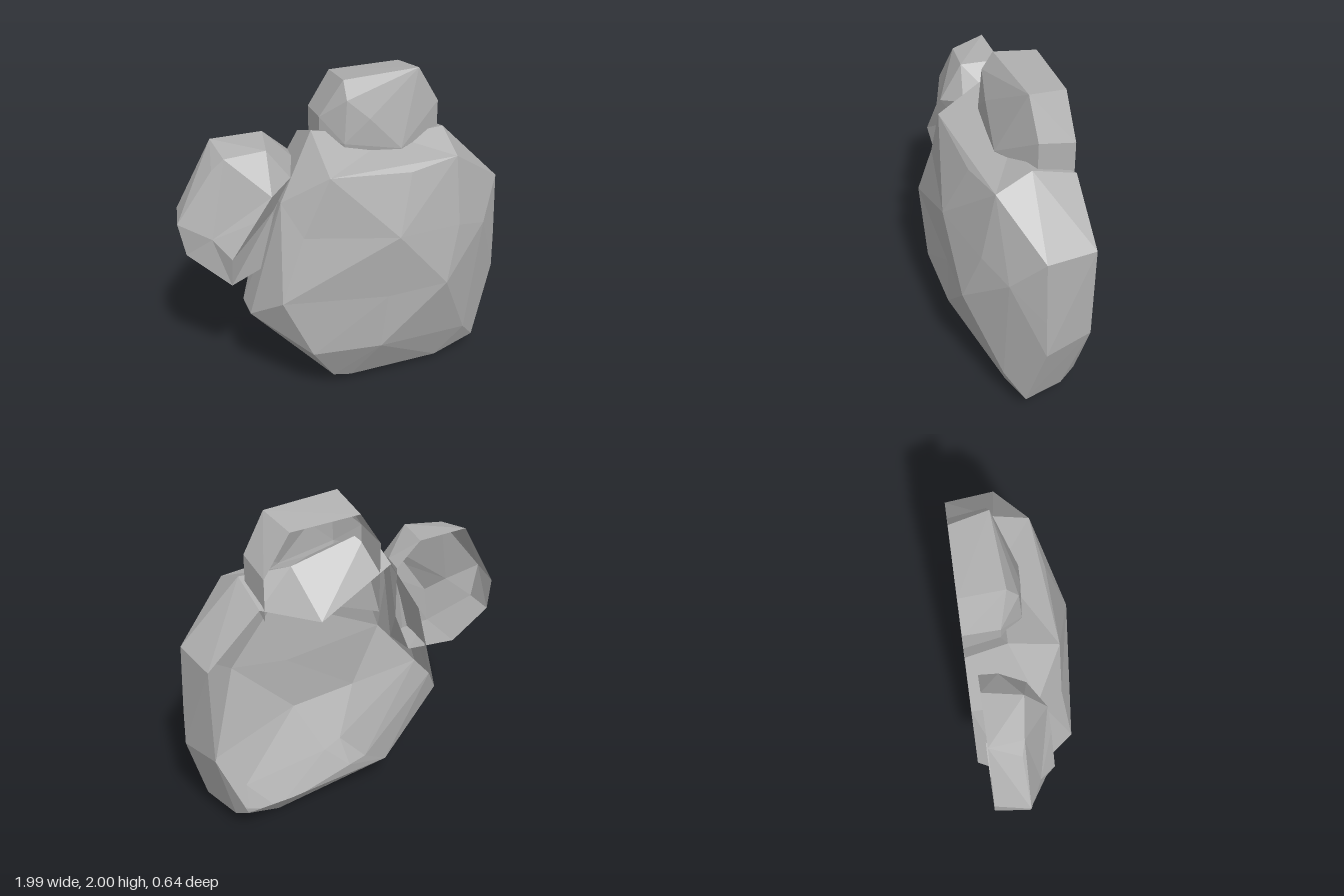
import * as THREE from 'three';
import { ConvexGeometry } from 'three/addons/geometries/ConvexGeometry.js';

// Faceted stone shell around corners [x, y, z, dy, dz]. After hulling, a corner with dy / dz
// is pushed in to make a dent. Faces on the plane z = back, or wholly below floor, are left open.
function stoneShell(points, back, floor) {
  const hull = new ConvexGeometry(points.map(([x, y, z]) => new THREE.Vector3(x, y, z)));
  const pos = hull.getAttribute('position');
  const dents = points.filter(p => p.length > 3);
  const kept = [];
  for (let i = 0; i < pos.count; i += 3) {
    const corners = [i, i + 1, i + 2].map(j => new THREE.Vector3().fromBufferAttribute(pos, j));
    if (corners.every(c => c.z < back + 0.005) || corners.every(c => c.y < floor)) continue;
    for (const c of corners) {
      const dent = dents.find(([x, y, z]) => Math.hypot(c.x - x, c.y - y, c.z - z) < 1e-4);
      if (dent) c.add(new THREE.Vector3(0, dent[3], dent[4]));
      kept.push(c.x, c.y, c.z);
    }
  }
  const geo = new THREE.BufferGeometry();
  geo.setAttribute('position', new THREE.Float32BufferAttribute(kept, 3));
  geo.computeVertexNormals();
  return geo;
}

// Flat outline at the open back
const rim = (outline, z) => outline.map(([x, y, ...dent]) => [x, y, z, ...dent]);

export function createModel() {
  const group = new THREE.Group();
  const stone = new THREE.MeshStandardMaterial({ color: 0xb0b0b0 });
  stone.name = 'stone grey';
  stone.side = THREE.DoubleSide;
  stone.flatShading = true;

  const add = (name, points, outline, back, floor = -1) => {
    const mesh = new THREE.Mesh(stoneShell([...points, ...rim(outline, back)], back, floor), stone);
    mesh.name = name;
    group.add(mesh);
  };

  // Large boulder, with a saddle in its top that carries the top stone
  add('largeBoulder', [
    // front face
    [-0.33, 1.18, 0.25, 0, -0.04], [0.22, 1.14, 0.32], [0.63, 1.1, 0.23], [0.83, 1.03, 0.14],
    [0.53, 0.76, 0.31], [0.17, 0.72, 0.325, 0, -0.045], [-0.48, 0.79, 0.26], [-0.3, 0.39, 0.265],
    [0.13, 0.36, 0.27], [0.74, 0.27, 0.13],
    // upper bevel
    [-0.17, 1.54, 0.21], [0.33, 1.49, 0.2], [0.63, 1.52, 0.15],
    [-0.19, 1.71, -0.08], [0.3, 1.68, -0.07, -0.08, 0], [0.62, 1.62, -0.06],
    // sides
    [-0.42, 1.35, 0.06], [-0.62, 0.61, 0.03], [-0.62, 0.61, -0.14], [0.97, 1.25, -0.02],
    [0.985, 0.84, -0.025], [0.99, 0.59, -0.03], [0.85, 0.12, 0.03],
    // underside
    [-0.13, 0.1, 0.13], [-0.18, 0.1, -0.11], [-0.08, 0.05, -0.09], [-0.01, 0.06, 0.11],
    [0.58, 0.04, 0.06], [0.48, 0, -0.19], [0.66, 0.04, -0.15], [0.78, 0.11, -0.22],
  ], [
    [0.62, 1.54], [0.94, 1.24], [0.93, 0.63], [0.74, 0.17], [0.45, 0.17],
    [-0.2, 0.22], [-0.54, 0.65], [-0.4, 1.25], [-0.2, 1.6], [0.24, 1.6, -0.25, 0],
  ], -0.32);

  // Small stone on top, open underneath, with its lower end sunk into the boulder
  add('topStone', [
    [0, 2, -0.06], [0.47, 2, -0.09], [0, 1.9, 0.005], [-0.02, 1.64, 0.02],
    [0.13, 1.78, 0.03], [0.32, 1.57, 0.045], [0.6, 1.77, -0.1], [0.6, 1.58, -0.1],
    [-0.13, 1.77, -0.11], [-0.13, 1.64, -0.11], [0, 1.24, -0.05], [0.5, 1.42, -0.1],
  ], [
    [0, 1.96], [0.43, 1.96], [0.59, 1.72], [0.59, 1.46], [-0.13, 1.31], [-0.13, 1.75],
  ], -0.32, 1.5);

  // Medium stone leaning on the side
  add('sideStone', [
    [-0.71, 1.62, -0.06], [-0.78, 1.55, -0.08], [-0.47, 1.65, -0.03], [-0.48, 1.42, 0.1],
    [-0.58, 1.28, 0.11], [-0.73, 1.06, 0.115], [-0.82, 1.16, 0.08, 0, -0.06],
    [-1, 1.25, -0.06], [-0.96, 1.04, -0.06], [-0.73, 0.86, 0.07], [-0.34, 1.47, 0],
    [-0.45, 1.27, 0.07, 0, -0.07], [-0.5, 0.91, 0], [-0.29, 1.53, -0.15], [-0.35, 0.95, -0.1],
  ], [
    [-0.74, 1.66], [-0.43, 1.66], [-0.28, 1.52], [-0.28, 1.2], [-0.38, 0.94],
    [-0.7, 0.9], [-0.94, 1.06], [-0.96, 1.25],
  ], -0.26);

  return group;
}
